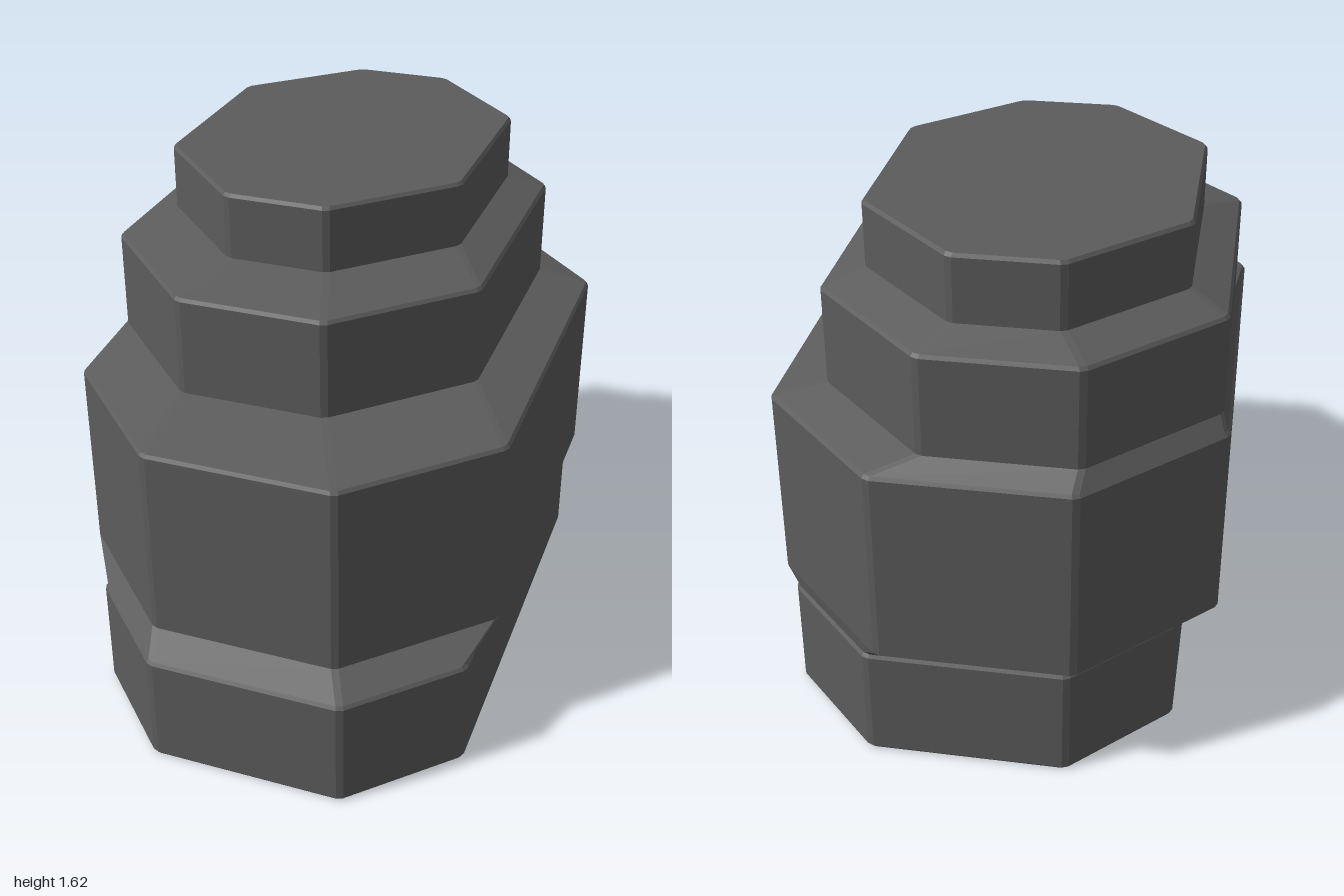
import * as THREE from 'three';

// One octagonal cross-section with slightly blunted corners, counterclockwise from above
function ring(t, y, inset = 0) {
  const x0 = t.x[0] + inset, x1 = t.x[1] - inset;
  const z0 = t.z[0] + inset, z1 = t.z[1] - inset;
  const c = t.cut - inset * 0.6;
  const corners = [
    [x1, z1 - c], [x1, z0 + c], [x1 - c, z0], [x0 + c, z0],
    [x0, z0 + c], [x0, z1 - c], [x0 + c, z1], [x1 - c, z1],
  ].map(([x, z]) => new THREE.Vector3(x, y, z));
  const points = [];
  corners.forEach((p, i) => {
    for (const q of [corners[(i + 7) % 8], corners[(i + 1) % 8]]) {
      points.push(p.clone().lerp(q, 0.012 / p.distanceTo(q)));
    }
  });
  return points;
}

// Skin a list of rings, with optional flat end caps
function loft(rings, capBottom, capTop) {
  const pos = [];
  const tri = (...pts) => pts.forEach((p) => pos.push(p.x, p.y, p.z));
  const n = rings[0].length;
  for (let k = 0; k < rings.length - 1; k++) {
    const lo = rings[k], hi = rings[k + 1];
    for (let i = 0; i < n; i++) {
      const j = (i + 1) % n;
      tri(lo[i], lo[j], hi[j]);
      tri(lo[i], hi[j], hi[i]);
    }
  }
  const first = rings[0], last = rings[rings.length - 1];
  for (let i = 1; i < n - 1; i++) {
    if (capBottom) tri(first[0], first[i + 1], first[i]);
    if (capTop) tri(last[0], last[i], last[i + 1]);
  }
  const geometry = new THREE.BufferGeometry();
  geometry.setAttribute('position', new THREE.Float32BufferAttribute(pos, 3));
  geometry.computeVertexNormals();
  return geometry;
}

export function createModel() {
  const group = new THREE.Group();
  group.name = 'steppedTower';
  const stone = new THREE.MeshStandardMaterial({ color: 0x5c5c5c });
  stone.name = 'dark grey stone';

  // Off-centre octagonal tiers, from the ground up
  const tiers = [
    { name: 'baseTier', x: [-0.56, 0.632], z: [-0.95, 1.0], cut: 0.295, y: [0, 0.36] },
    { name: 'mainTier', x: [-0.675, 0.672], z: [-1.0, 0.9], cut: 0.385, y: [0.41, 1.022] },
    { name: 'upperTier', x: [-0.65, 0.508], z: [-0.935, 0.61], cut: 0.355, y: [1.065, 1.372] },
    { name: 'topTier', x: [-0.537, 0.392], z: [-0.822, 0.393], cut: 0.31, y: [1.415, 1.615] },
  ];

  tiers.forEach((t, i) => {
    const [y0, y1] = t.y;
    const isBase = i === 0, isTop = i === tiers.length - 1;
    // Wall with small bevels, then the sloped shoulder up to the next tier
    const rings = [ring(t, y0, isBase ? 0.008 : 0), ring(t, y0 + 0.01), ring(t, y1 - 0.01), ring(t, y1, 0.008)];
    if (!isTop) rings.push(ring(tiers[i + 1], tiers[i + 1].y[0]));
    const mesh = new THREE.Mesh(loft(rings, isBase, isTop), stone);
    mesh.name = t.name;
    group.add(mesh);
  });

  return group;
}
